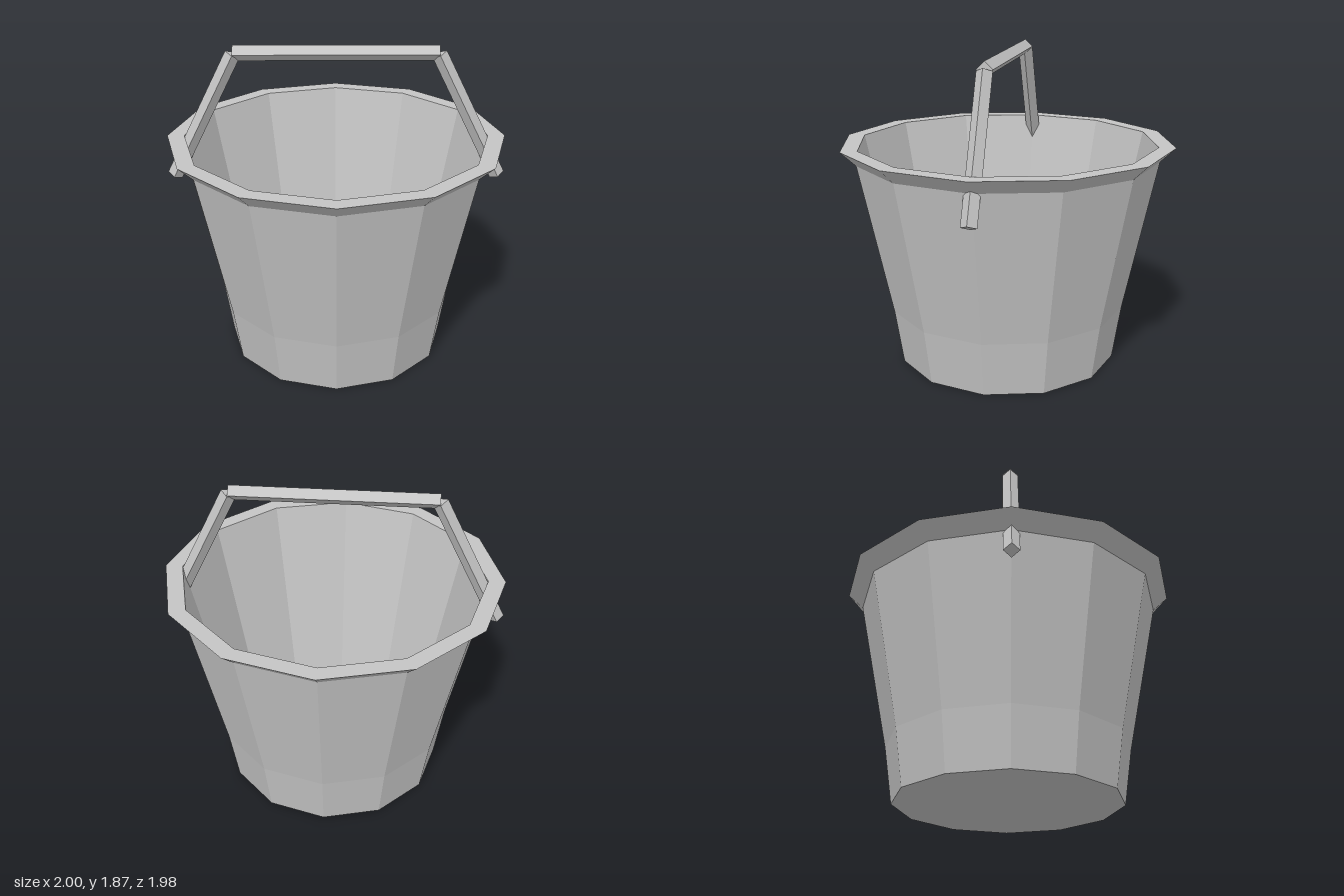
import * as THREE from 'three';

export function createModel() {
  const group = new THREE.Group();
  const grey = new THREE.MeshStandardMaterial({ color: 0xc4c4c4, flatShading: true });
  grey.name = 'grey';

  // Twelve-sided bucket: underside, outer wall, flared rim, inner wall, floor
  const profile = [
    [0, 0], [0.66, 0], [0.71, 0.33], [0.9, 1.24], [0.99, 1.325],
    [0.89, 1.325], [0.612, 0.04], [0, 0.04],
  ].map(([r, y]) => new THREE.Vector2(r, y));
  const bucket = new THREE.Mesh(new THREE.LatheGeometry(profile, 12), grey);
  bucket.name = 'bucket';
  group.add(bucket);

  // Handle: square bars standing on edge
  const handle = new THREE.Group();
  handle.name = 'handle';
  group.add(handle);

  function bar(name, from, to) {
    const a = new THREE.Vector3(...from);
    const b = new THREE.Vector3(...to);
    const dir = b.clone().sub(a);
    const mesh = new THREE.Mesh(new THREE.CylinderGeometry(0.045, 0.045, dir.length(), 4), grey);
    mesh.name = name;
    mesh.position.copy(a).add(b).multiplyScalar(0.5);
    mesh.quaternion.setFromUnitVectors(new THREE.Vector3(0, 1, 0), dir.normalize());
    handle.add(mesh);
  }

  bar('handleGrip', [-0.585, 1.822, 0], [0.585, 1.822, 0]);
  for (const [side, s] of [['left', 1], ['right', -1]]) {
    bar(side + 'HandleArm', [s * 0.96, 1.077, 0], [s * 0.585, 1.815, 0]);
  }

  return group;
}
